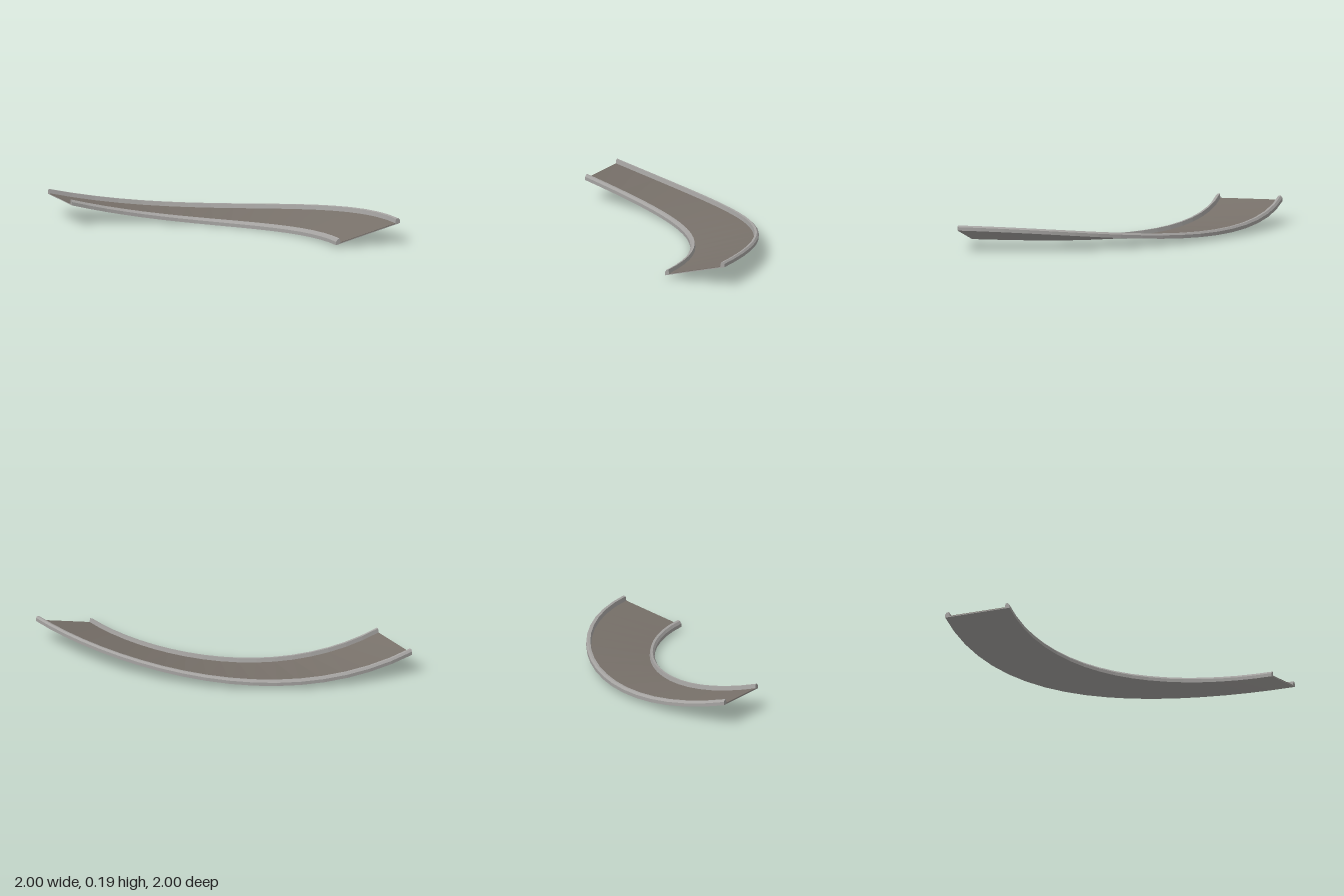
import * as THREE from 'three';

const R_IN = 1.5, R_OUT = 2, STEPS = 18;

// Point on the banked quarter bend: angle a, radius r, height v above the underside
function place(a, r, v) {
  const t = (r - R_IN) / (R_OUT - R_IN);
  const xIn = -1 + R_IN * Math.sin(a), xOut = -1 + R_OUT * Math.sin(a);
  const yIn = 0.12 * (xIn - 0.12) ** 2;
  const yOut = 0.03 + 0.12 * xOut ** 2;
  return [-1 + r * Math.sin(a), yIn + (yOut - yIn) * t + v, 1 - r * Math.cos(a)];
}

// Sweep a convex counter-clockwise (radius, height) section round the bend, with end caps
function sweep(section) {
  const pos = [], n = section.length;
  const ring = k => section.map(([r, v]) => place((k / STEPS) * Math.PI / 2, r, v));
  const tri = (a, b, c) => pos.push(...a, ...b, ...c);
  for (let k = 0; k < STEPS; k++) {
    const A = ring(k), B = ring(k + 1);
    for (let i = 0; i < n; i++) {
      const j = (i + 1) % n;
      tri(A[i], A[j], B[j]);
      tri(A[i], B[j], B[i]);
    }
  }
  const first = ring(0), last = ring(STEPS);
  for (let i = 1; i < n - 1; i++) {
    tri(first[0], first[i + 1], first[i]);
    tri(last[0], last[i], last[i + 1]);
  }
  const geo = new THREE.BufferGeometry();
  geo.setAttribute('position', new THREE.Float32BufferAttribute(pos, 3));
  geo.computeVertexNormals();
  return geo;
}

export function createModel() {
  const group = new THREE.Group();
  const concrete = new THREE.MeshStandardMaterial({ color: 0xa5a3a1 });
  concrete.name = 'concrete grey';
  const asphalt = new THREE.MeshStandardMaterial({ color: 0x78716a });
  asphalt.name = 'asphalt brown grey';

  const add = (name, section, material) => {
    const mesh = new THREE.Mesh(sweep(section), material);
    mesh.name = name;
    group.add(mesh);
  };

  // Kerb section: distance in from the road edge, height
  const kerb = [[0, 0], [0, 0.025], [0.013, 0.04], [0.03, 0.04], [0.036, 0.01], [0.036, 0]];
  add('innerKerb', kerb.map(([d, v]) => [R_IN + d, v]).reverse(), concrete);
  add('outerKerb', kerb.map(([d, v]) => [R_OUT - d, v]), concrete);

  // Slab between the kerbs and the road surface laid on it
  const a = R_IN + 0.036, b = R_OUT - 0.036;
  add('deckSlab', [[a, 0], [b, 0], [b, 0.006], [a, 0.006]], concrete);
  add('roadSurface', [[a, 0.006], [b, 0.006], [b, 0.01], [a, 0.01]], asphalt);
  return group;
}
